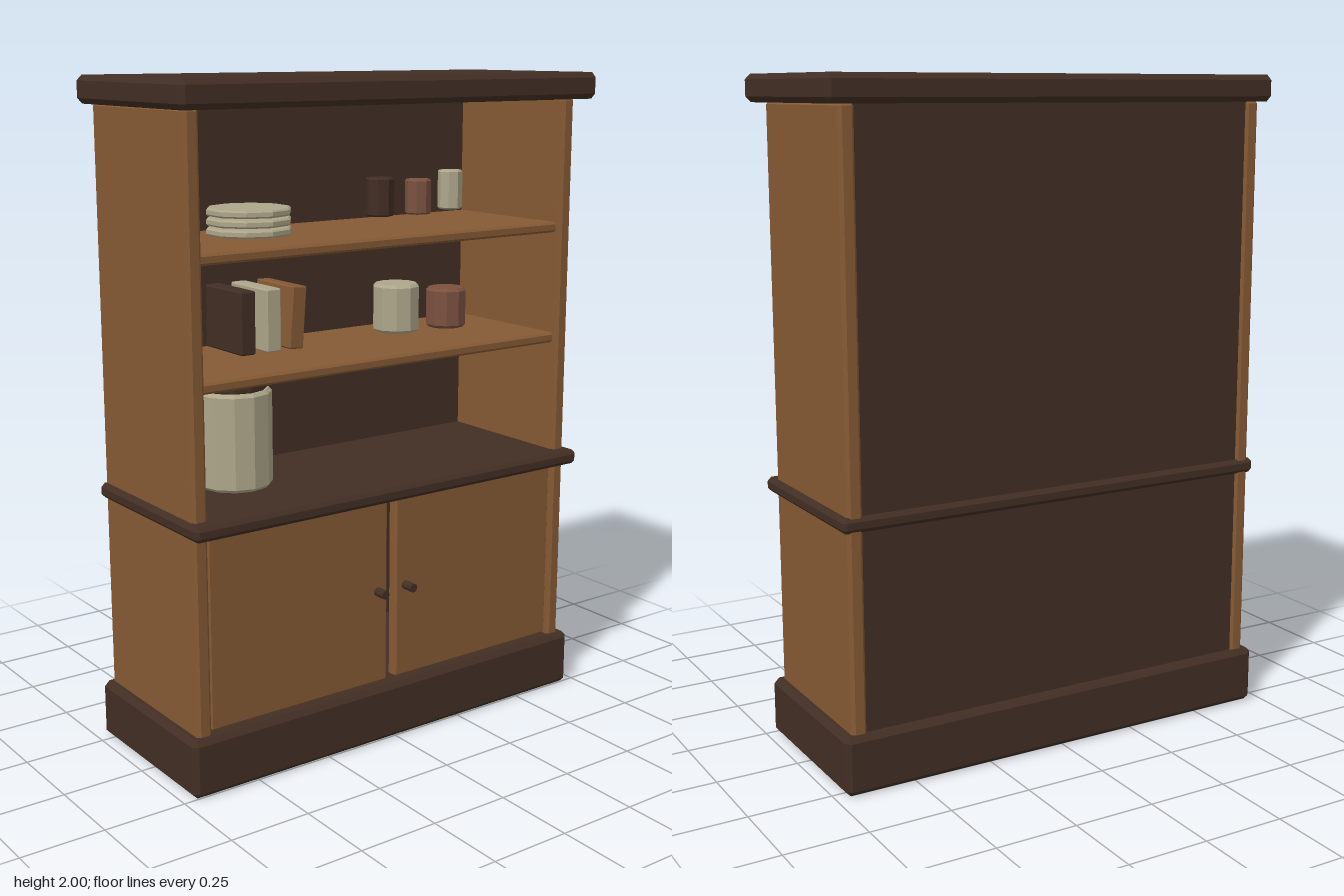
import * as THREE from 'three';
import { ConvexGeometry } from 'three/addons/geometries/ConvexGeometry.js';

const paint = (color) => new THREE.MeshStandardMaterial({ color, flatShading: true });

export function createModel() {
  const cabinet = new THREE.Group();
  cabinet.name = 'cabinet';
  const dark = paint(0x422e24), wood = paint(0x855a35);
  const cream = paint(0xaea68a), clay = paint(0x7a5140);

  function add(name, geometry, material, x = 0, y = 0, z = 0) {
    const mesh = new THREE.Mesh(geometry, material);
    mesh.name = name;
    mesh.position.set(x, y, z);
    cabinet.add(mesh);
    return mesh;
  }

  // Box between two corners, all edges chamfered by c
  function block(name, material, [x0, y0, z0], [x1, y1, z1], c) {
    const half = [(x1 - x0) / 2, (y1 - y0) / 2, (z1 - z0) / 2];
    const points = [];
    for (const sx of [-1, 1]) for (const sy of [-1, 1]) for (const sz of [-1, 1]) {
      for (let face = 0; face < 3; face++) {
        const p = half.map((h, axis) => (axis === face ? h : h - c));
        points.push(new THREE.Vector3(sx * p[0], sy * p[1], sz * p[2]));
      }
    }
    return add(name, new ConvexGeometry(points), material,
      (x0 + x1) / 2, (y0 + y1) / 2, (z0 + z1) / 2);
  }

  // Upright faceted drum with chamfered rims
  function drum(name, material, x, z, r, y0, y1, sides, c) {
    const h = y1 - y0;
    const profile = [[0, 0], [r - c, 0], [r, c], [r, h - c], [r - c, h], [0, h]]
      .map(([px, py]) => new THREE.Vector2(px, py));
    return add(name, new THREE.LatheGeometry(profile, sides), material, x, y0, z);
  }

  // Carcass
  block('plinth', dark, [-0.72, 0, -0.295], [0.72, 0.177, 0.26], 0.016);
  block('counter', dark, [-0.71, 0.765, -0.284], [0.71, 0.81, 0.282], 0.012);
  block('cornice', dark, [-0.735, 1.92, -0.295], [0.735, 2, 0.295], 0.016);
  block('backPanel', dark, [-0.655, 0.16, -0.268], [0.655, 1.935, -0.238], 0.004);
  for (const s of [-1, 1]) {
    block(s < 0 ? 'rightSide' : 'leftSide', wood,
      [s * 0.669 - 0.024, 0.165, -0.276], [s * 0.669 + 0.024, 1.925, 0.237], 0.01);
  }
  for (const y of [1.16, 1.51]) {
    block('shelf', wood, [-0.65, y, -0.24], [0.65, y + 0.032, 0.22], 0.007);
  }

  // Doors with knobs
  for (const s of [-1, 1]) {
    block('door', wood, [s * 0.329 - 0.315, 0.18, 0.19], [s * 0.329 + 0.315, 0.768, 0.226], 0.007);
    const knob = new THREE.CylinderGeometry(0.014, 0.014, 0.05, 8).rotateX(Math.PI / 2);
    add('knob', knob, dark, s * 0.053, 0.475, 0.243);
  }

  // Top shelf: plates and cups
  for (let i = 0; i < 3; i++) {
    const y = 1.55 + i * 0.028;
    drum('plate', cream, -0.33, -0.03, 0.126, y, y + 0.022, 10, 0.005);
  }
  drum('cup', dark, 0.155, -0.045, 0.044, 1.57, 1.687, 8, 0.005);
  drum('cup', clay, 0.304, -0.045, 0.041, 1.567, 1.675, 8, 0.005);
  drum('cup', cream, 0.433, -0.045, 0.039, 1.575, 1.697, 8, 0.005);

  // Middle shelf: books and small jars
  for (const [x, material, tilt] of [[-0.39, dark, 0], [-0.302, cream, 0], [-0.218, wood, -0.08]]) {
    const book = block('book', material,
      [x - 0.025, 1.213, -0.14], [x + 0.025, 1.398, 0.055], 0.004);
    book.rotation.z = tilt;
  }
  drum('smallJar', cream, 0.216, -0.04, 0.074, 1.207, 1.358, 10, 0.009);
  drum('smallJar', clay, 0.418, -0.04, 0.065, 1.2, 1.327, 10, 0.009);

  // Counter: large lidded jar
  drum('largeJar', cream, -0.393, -0.03, 0.114, 0.812, 1.105, 12, 0.01);
  drum('largeJarLid', dark, -0.393, -0.03, 0.101, 1.1, 1.137, 12, 0.008);

  return cabinet;
}
